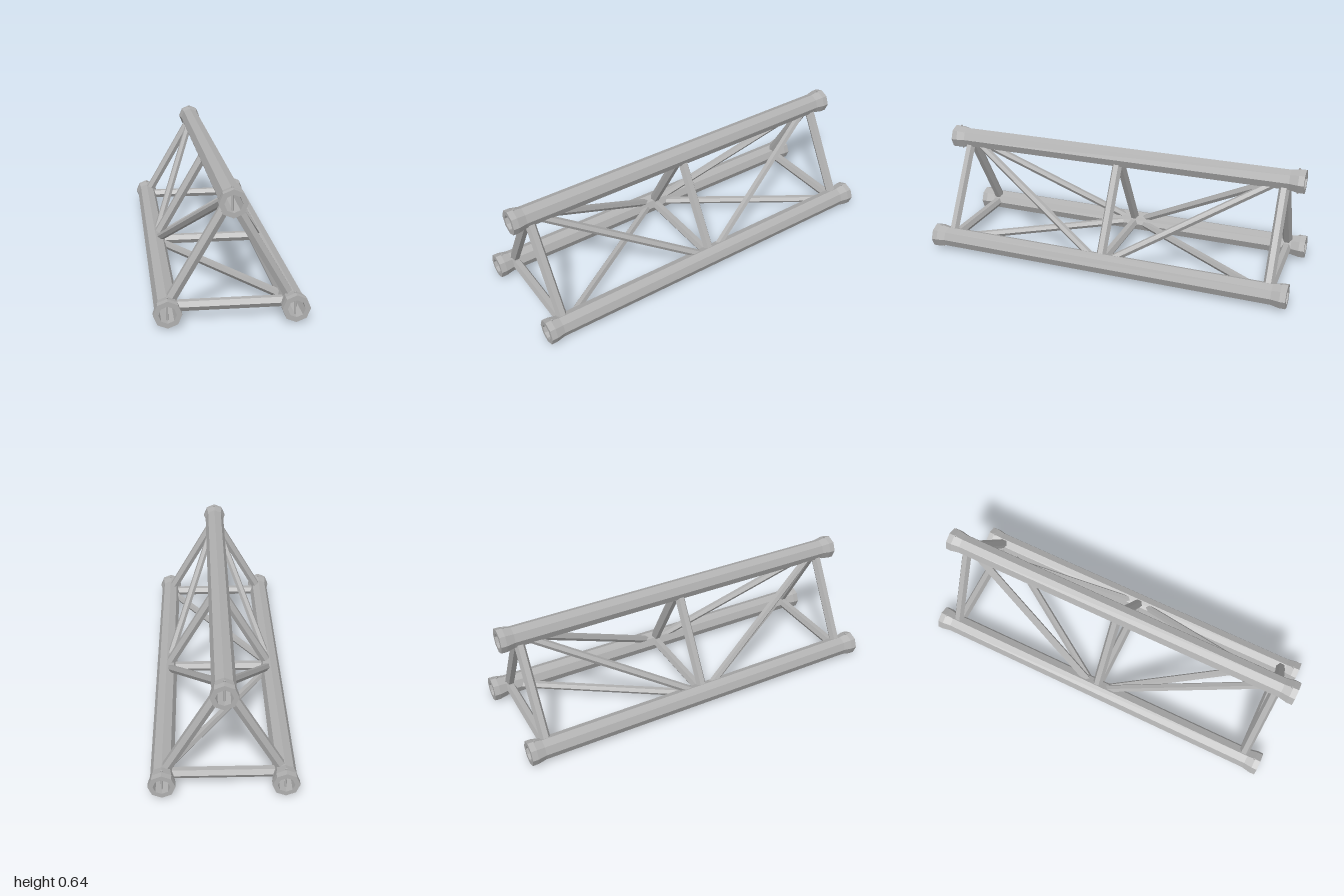
import * as THREE from 'three';

const V = (x, y, z) => new THREE.Vector3(x, y, z);

export function createModel() {
  const truss = new THREE.Group();
  truss.name = 'triangularTruss';
  const metal = new THREE.MeshStandardMaterial({ color: 0xb0b0b0, flatShading: true });
  metal.name = 'aluminium grey';

  const add = (name, geometry) => {
    const mesh = new THREE.Mesh(geometry, metal);
    mesh.name = name;
    truss.add(mesh);
    return mesh;
  };

  // chord axes in the xy plane
  const left = V(0.29, 0.069, 0), right = V(-0.29, 0.069, 0), top = V(0, 0.571, 0);
  const wallDepth = 0.047; // brace ends stop inside the tube wall

  // hollow octagonal chord with flared ends
  const profile = [
    [0.041, -1], [0.065, -1], [0.065, -0.97], [0.056, -0.925],
    [0.056, 0.925], [0.065, 0.97], [0.065, 1], [0.041, 1], [0.041, -1],
  ].map(([r, y]) => new THREE.Vector2(r, y));
  const chordGeometry = new THREE.LatheGeometry(profile, 8).rotateX(Math.PI / 2);
  const pinGeometry = new THREE.CylinderGeometry(0.005, 0.005, 0.138, 8);

  for (const [side, p] of [['left', left], ['right', right], ['top', top]]) {
    add(side + 'Chord', chordGeometry).position.copy(p);
    // locking pins through both flared ends
    for (const z of [-0.965, 0.965]) add(side + 'Pin', pinGeometry).position.set(p.x, p.y, z);
  }

  // hexagonal brace between two chords, its ends mitred parallel to the chords
  function brace(name, a, b, za, zb, radius) {
    const across = b.clone().sub(a);
    const span = across.length();
    across.normalize();
    const t = wallDepth / span;
    const from = a.clone().setZ(za), to = b.clone().setZ(zb);
    const start = from.clone().lerp(to, t), end = from.clone().lerp(to, 1 - t);
    const dir = to.clone().sub(from).normalize();
    const normal = V(0, 0, 1).cross(across).normalize();
    const inPlane = normal.clone().cross(dir).normalize();

    const geometry = new THREE.CylinderGeometry(radius, radius, 1, 6);
    const pos = geometry.attributes.position;
    for (let i = 0; i < pos.count; i++) {
      const offset = inPlane.clone().multiplyScalar(pos.getZ(i))
        .addScaledVector(normal, pos.getX(i));
      offset.addScaledVector(dir, -offset.dot(across) / dir.dot(across));
      const v = (pos.getY(i) > 0 ? end : start).clone().add(offset);
      pos.setXYZ(i, v.x, v.y, v.z);
    }
    geometry.computeVertexNormals();
    add(name, geometry);
  }

  // each face: three straight braces and two diagonals meeting at the middle of the first chord
  const faces = [['leftFace', left, top], ['rightFace', right, top], ['bottomFace', right, left]];
  for (const [name, a, b] of faces) {
    for (const z of [-0.9, 0, 0.9]) brace(name + 'Strut', a, b, z, z, 0.027);
    for (const s of [-1, 1]) brace(name + 'Diagonal', a, b, 0.01 * s, 0.89 * s, 0.021);
  }
  return truss;
}
